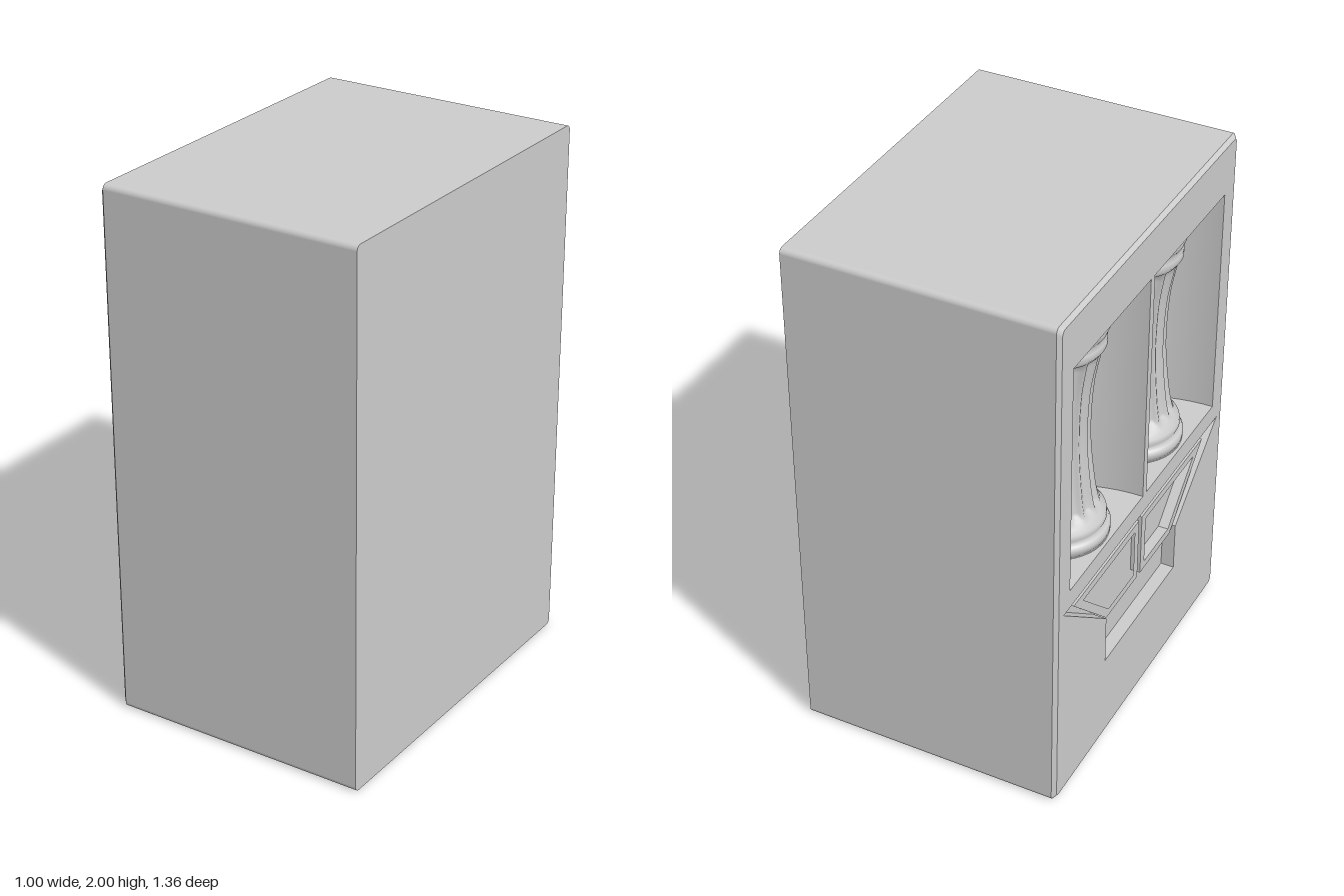
import * as THREE from 'three';

const H = 2, HALF_Z = 0.68, FACE_X = -0.5;
const NICHE = { y0: 0.9, y1: 1.8, z: 0.3, half: 0.285, depth: 0.42 };
const RECESS = 0.05;

const material = new THREE.MeshStandardMaterial({ color: 0xcccccc });
const thin = new THREE.MeshStandardMaterial({ color: 0xcccccc, side: THREE.DoubleSide });

function add(parent, name, geometry, mat = material) {
  const mesh = new THREE.Mesh(geometry, mat);
  mesh.name = name;
  parent.add(mesh);
  return mesh;
}

const points = (list) => list.map(([a, b]) => new THREE.Vector2(a, b));

// Rounded rectangle of the side elevation
function outline() {
  const r = 0.02, s = new THREE.Shape();
  s.absarc(HALF_Z - r, r, r, -Math.PI / 2, 0);
  s.absarc(HALF_Z - r, H - r, r, 0, Math.PI / 2);
  s.absarc(-HALF_Z + r, H - r, r, Math.PI / 2, Math.PI);
  s.absarc(-HALF_Z + r, r, r, Math.PI, Math.PI * 1.5);
  s.closePath();
  return s;
}

// Extrudes an elevation shape inwards along x, starting at depth d
function layer(shape, holes, d, depth) {
  shape.holes = holes.map((h) => new THREE.Path(points(h)));
  const g = new THREE.ExtrudeGeometry(shape, { depth, bevelEnabled: false, curveSegments: 5 });
  g.rotateY(Math.PI / 2);
  g.translate(FACE_X + d, 0, 0);
  return g;
}

// Softens the outer rim of the decorated face
function chamfer(g, size) {
  const p = g.attributes.position;
  for (let i = 0; i < p.count; i++) {
    if (p.getX(i) > FACE_X + 0.001) continue;
    const y = p.getY(i), z = p.getZ(i);
    if (Math.abs(z) < 0.65 && Math.abs(y - 1) < 0.97) continue;
    p.setY(i, 1 + (y - 1) * (1 - size));
    p.setZ(i, z * (1 - size / HALF_Z));
  }
  g.computeVertexNormals();
  return g;
}

// Tall, waisted column with flutes on the shaft
function columnGeometry() {
  const profile = [[0, 0.9], [0.19, 0.9], [0.192, 0.93], [0.185, 0.945], [0.172, 0.95],
    [0.178, 0.965], [0.176, 0.985], [0.16, 1.0], [0.152, 1.02]];
  const shaft = new THREE.SplineCurve(points([[0.15, 1.03], [0.136, 1.1], [0.12, 1.25],
    [0.117, 1.37], [0.126, 1.52], [0.15, 1.65]]));
  const top = [[0.155, 1.66], [0.165, 1.675], [0.165, 1.7], [0.155, 1.71], [0.168, 1.73],
    [0.175, 1.75], [0.175, 1.8], [0, 1.8]];
  const g = new THREE.LatheGeometry([...points(profile), ...shaft.getPoints(16), ...points(top)], 96);
  const p = g.attributes.position;
  for (let i = 0; i < p.count; i++) {
    const x = p.getX(i), y = p.getY(i), z = p.getZ(i);
    if (y < 1.025 || y > 1.655) continue;
    const k = 1 - 0.11 * Math.abs(Math.sin(Math.atan2(z, x) * 8));
    p.setXYZ(i, x * k, y, z * k);
  }
  g.computeVertexNormals();
  return g;
}

// Curved back wall of a niche, half an ellipse in plan
function nicheWallGeometry() {
  const { y0, y1, half, depth } = NICHE;
  const g = new THREE.CylinderGeometry(1, 1, y1 - y0, 40, 1, true, 0, Math.PI);
  g.scale(depth, 1, half);
  g.translate(FACE_X, (y0 + y1) / 2, 0);
  return g;
}

export function createModel() {
  const model = new THREE.Group();
  model.name = 'cabinet';

  const nicheHoles = [-1, 1].map((s) => {
    const a = s * NICHE.z - NICHE.half, b = s * NICHE.z + NICHE.half;
    return [[a, NICHE.y0], [a, NICHE.y1], [b, NICHE.y1], [b, NICHE.y0]];
  });
  const trayHole = [[-0.63, 0.825], [0.63, 0.825], [0.29, 0.55], [0.29, 0.355],
    [-0.29, 0.355], [-0.29, 0.55]];

  // Cabinet body, in layers from the decorated face inwards
  const rim = 0.014, back = 0.45;
  add(model, 'faceRim', chamfer(layer(outline(), [...nicheHoles, trayHole], 0, rim), rim));
  add(model, 'facePlate', layer(outline(), [...nicheHoles, trayHole], rim, RECESS - rim));
  add(model, 'nicheLayer', layer(outline(), nicheHoles, RECESS, back - RECESS));
  add(model, 'bodyBlock', layer(outline(), [], back, 1 - back));

  // Two niches, each with a column
  const column = columnGeometry(), wall = nicheWallGeometry();
  for (const s of [-1, 1]) {
    const niche = new THREE.Group();
    niche.name = s > 0 ? 'frontNiche' : 'backNiche';
    niche.position.z = s * NICHE.z;
    add(niche, 'nicheWall', wall, thin);
    add(niche, 'column', column).position.x = FACE_X + 0.2;
    model.add(niche);
  }

  // Pair of framed, slanted panels in the funnel-shaped recess
  for (const s of [-1, 1]) {
    const frame = [[0.012, 0.785], [0.53, 0.785], [0.265, 0.53], [0.012, 0.53]];
    const pane = [[0.045, 0.755], [0.455, 0.755], [0.25, 0.56], [0.045, 0.56]];
    const flip = (list) => list.map(([a, b]) => [a * s, b]);
    const g = layer(new THREE.Shape(points(flip(frame))), [flip(pane)], 0.012, RECESS - 0.012);
    add(model, s > 0 ? 'backPanelFrame' : 'frontPanelFrame', g);
  }
  return model;
}
